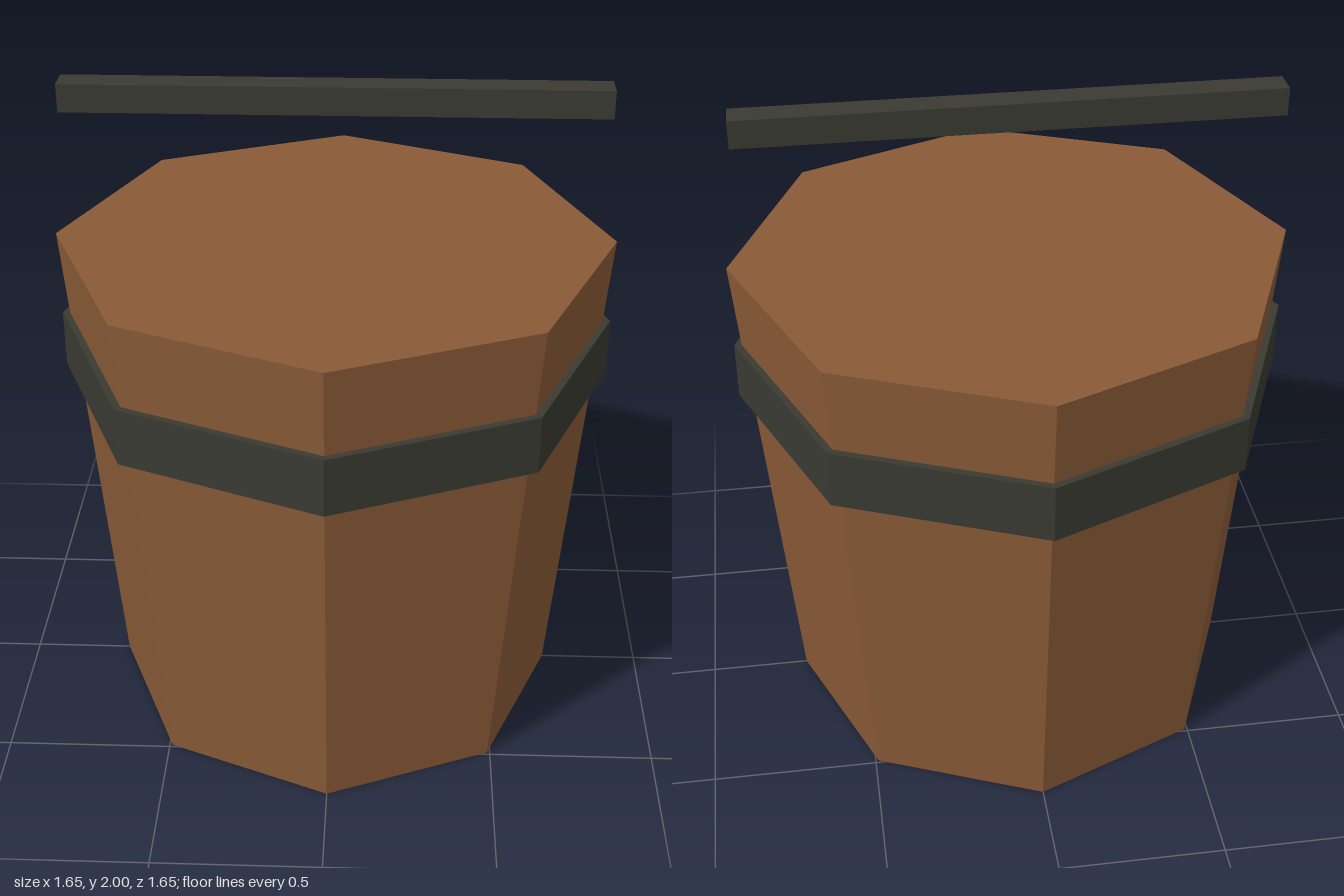
import * as THREE from 'three';

export function createModel() {
  const model = new THREE.Group();
  const wood = new THREE.MeshStandardMaterial({ name: 'brown wood', color: 0x8a5b37, flatShading: true });
  const iron = new THREE.MeshStandardMaterial({ name: 'dark iron', color: 0x3a3a33, flatShading: true });

  const add = (name, geometry, material, y) => {
    const mesh = new THREE.Mesh(geometry, material);
    mesh.name = name;
    mesh.position.y = y;
    model.add(mesh);
  };

  // Tapered eight-sided tub, closed at both ends
  add('bucketBody', new THREE.CylinderGeometry(0.825, 0.695, 1.525, 8), wood, 0.7625);
  // Straight hoop around the upper part
  add('hoop', new THREE.CylinderGeometry(0.825, 0.825, 0.175, 8), iron, 1.1775);
  // Bar floating above the tub
  add('handle', new THREE.BoxGeometry(1.565, 0.083, 0.083), iron, 1.9585);

  return model;
}
